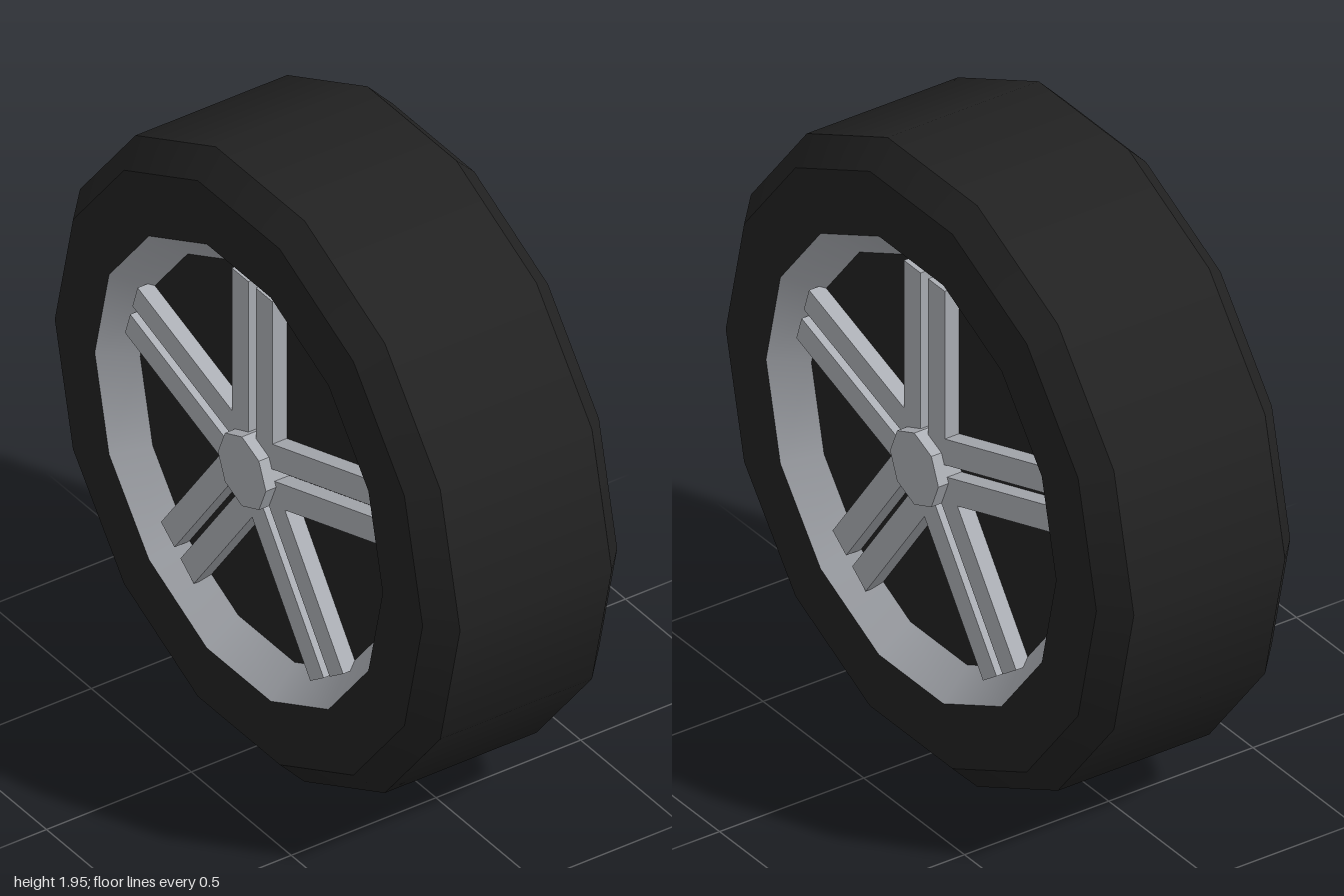
import * as THREE from 'three';

const SIDES = 14;
const RADIUS = 1;
const AXLE_Y = RADIUS * Math.cos(Math.PI / SIDES);
const FACE_X = 0.336, TREAD_X = 0.262, DISC_X = 0.24;

const rubber = new THREE.MeshStandardMaterial({ color: 0x222222 });
rubber.name = 'black rubber';
const metal = new THREE.MeshStandardMaterial({ color: 0xadb0b6 });
metal.name = 'silver metal';

function addMesh(parent, name, geometry, material) {
  const mesh = new THREE.Mesh(geometry, material);
  mesh.name = name;
  parent.add(mesh);
  return mesh;
}

// One ring of the wheel: smooth around the axle, sharp at both borders
function band(r0, x0, r1, x1) {
  const profile = [new THREE.Vector2(r0, x0), new THREE.Vector2(r1, x1)];
  return new THREE.LatheGeometry(profile, SIDES).rotateZ(-Math.PI / 2);
}

// Everything on the +x side of the wheel
function createSide(name) {
  const side = new THREE.Group();
  side.name = name;

  addMesh(side, 'tyreShoulder', band(RADIUS, TREAD_X, 0.92, FACE_X), rubber);
  addMesh(side, 'tyreSidewall', band(0.92, FACE_X, 0.72, FACE_X), rubber);
  addMesh(side, 'rim', band(0.72, FACE_X, 0.632, DISC_X), metal);

  const disc = new THREE.CircleGeometry(0.632, SIDES).rotateY(Math.PI / 2);
  addMesh(side, 'innerDisc', disc, rubber).position.x = DISC_X;

  // Octagonal hub cap
  const hub = new THREE.CylinderGeometry(0.12, 0.12, 0.1, 8).rotateZ(-Math.PI / 2).toNonIndexed();
  hub.computeVertexNormals();
  addMesh(side, 'hubCap', hub, metal).position.x = 0.275;

  // Five pairs of parallel spokes
  const inner = 0.08, outer = 0.635;
  for (let i = 0; i < 5; i++) {
    const pair = new THREE.Group();
    pair.name = 'spokePair';
    pair.rotation.x = (i * Math.PI * 2) / 5;
    for (const s of [-1, 1]) {
      const spoke = addMesh(pair, 'spoke', new THREE.BoxGeometry(0.09, outer - inner, 0.083), metal);
      spoke.position.set(0.245, (inner + outer) / 2, s * 0.06);
    }
    side.add(pair);
  }
  return side;
}

export function createModel() {
  const wheel = new THREE.Group();
  wheel.name = 'wheel';

  addMesh(wheel, 'tyreTread', band(RADIUS, -TREAD_X, RADIUS, TREAD_X), rubber);

  const left = createSide('leftSide');
  const right = createSide('rightSide');
  right.rotation.y = Math.PI;
  wheel.add(left, right);

  wheel.position.y = AXLE_Y;
  const model = new THREE.Group();
  model.name = 'model';
  model.add(wheel);
  return model;
}
